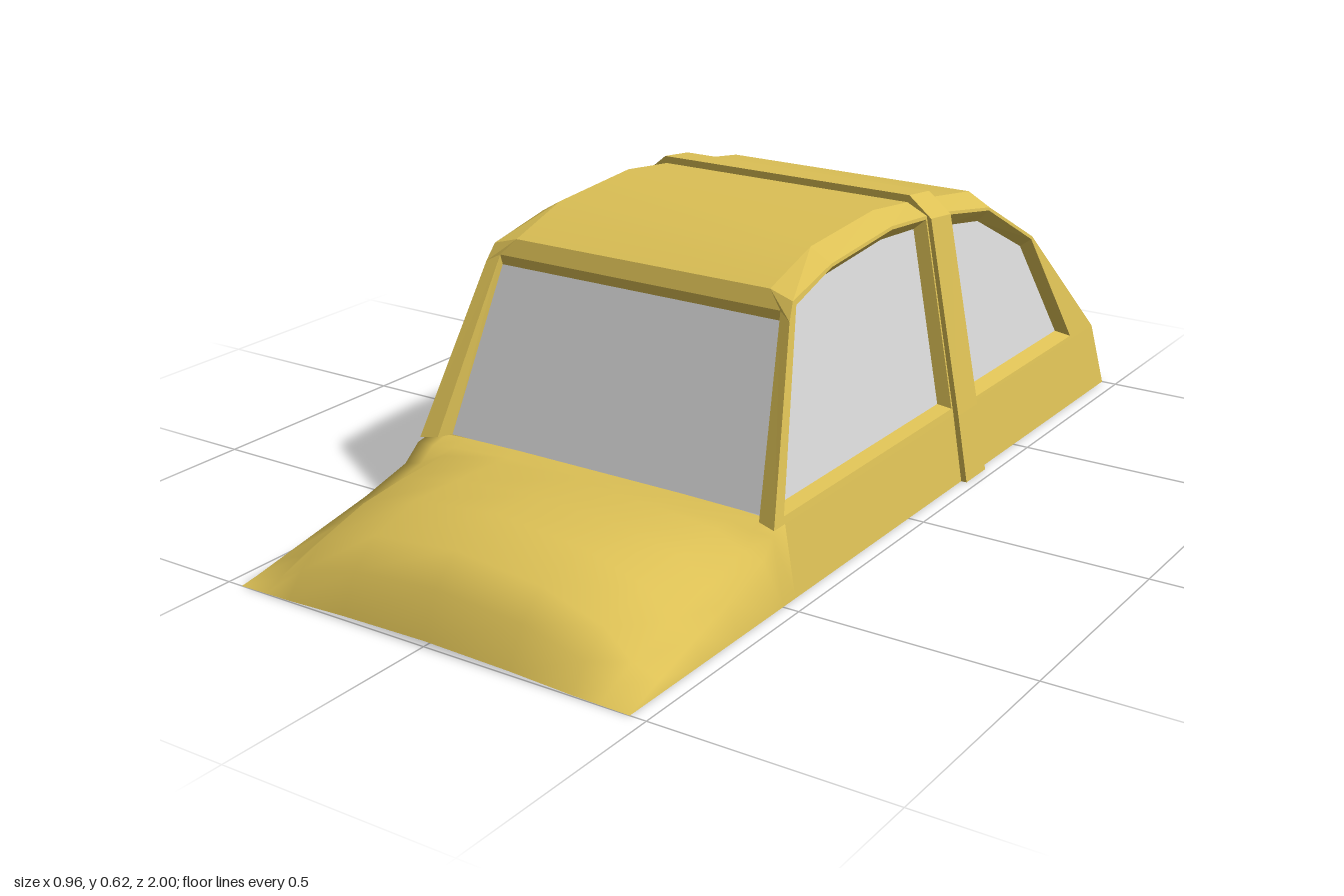
import * as THREE from 'three';

const body = new THREE.MeshStandardMaterial({ color: 0xdcc055, side: THREE.DoubleSide });
body.name = 'yellow body';
const glass = new THREE.MeshStandardMaterial({ color: 0xdadada, side: THREE.DoubleSide });
glass.name = 'pale glass';

// Half width of the side wall at height y
const wall = y => (y < 0.15 ? 0.465 - (y / 0.15) * 0.025 : 0.44 - ((y - 0.15) / 0.43) * 0.08);
const mirror = ([x, y, z]) => [-x, y, z];

// Skin stretched over rows of points
function loft(rows, smooth = true) {
  const n = rows[0].length, idx = [];
  for (let i = 0; i < rows.length - 1; i++) {
    for (let j = 0; j < n - 1; j++) {
      const a = i * n + j;
      idx.push(a, a + n, a + 1, a + 1, a + n, a + n + 1);
    }
  }
  let g = new THREE.BufferGeometry();
  g.setAttribute('position', new THREE.Float32BufferAttribute(rows.flat(2), 3));
  g.setIndex(idx);
  if (!smooth) g = g.toNonIndexed();
  g.computeVertexNormals();
  return g;
}

// Flat polygon in (z, y) leaned onto the side wall, moved inward by inset
function sidePanel(outline, holes, side, inset) {
  const toV = p => p.map(([z, y]) => new THREE.Vector2(z, y));
  const shape = new THREE.Shape(toV(outline));
  holes.forEach(h => shape.holes.push(new THREE.Path(toV(h))));
  const g = new THREE.ShapeGeometry(shape), pos = g.attributes.position;
  for (let i = 0; i < pos.count; i++) {
    const z = pos.getX(i), y = pos.getY(i);
    pos.setXYZ(i, side * (wall(y) - inset), y, z);
  }
  g.computeVertexNormals();
  return g;
}

// Roof line, front to rear: [z, y, half width, outer z, outer y]
const stations = [
  [0.485, 0.155, 0.40, 0.495, 0.15],
  [0.325, 0.525, 0.345, 0.337, 0.51],
  [0.31, 0.56, 0.312, 0.315, 0.545],
  [0.16, 0.608, 0.312, 0.16, 0.58],
  [-0.09, 0.625, 0.312, -0.09, 0.597],
  [-0.24, 0.608, 0.312, -0.24, 0.585],
  [-0.33, 0.598, 0.312, -0.33, 0.574],
  [-0.53, 0.568, 0.312, -0.525, 0.54],
  [-0.72, 0.46, 0.312, -0.715, 0.43],
  [-0.972, 0.145, 0.40, -0.972, 0.15],
];
const inner = stations.map(([z, y, x]) => [x, y, z]);
const outer = stations.map(([, , , z, y]) => [wall(y), y, z]);

// Side windows: opening in the wall and the smaller recessed pane
const windows = [
  {
    name: 'frontSide',
    hole: [[0.455, 0.165], [0.305, 0.535], [0.16, 0.573], [-0.09, 0.59], [-0.235, 0.578], [-0.235, 0.165]],
    pane: [[0.42, 0.172], [0.293, 0.525], [0.16, 0.548], [-0.09, 0.565], [-0.228, 0.555], [-0.228, 0.172]],
  },
  {
    name: 'rearSide',
    hole: [[-0.335, 0.158], [-0.335, 0.566], [-0.52, 0.534], [-0.708, 0.425], [-0.848, 0.158]],
    pane: [[-0.342, 0.17], [-0.342, 0.535], [-0.515, 0.507], [-0.705, 0.405], [-0.83, 0.17]],
  },
];

export function createModel() {
  const model = new THREE.Group();
  model.name = 'carShell';
  const add = (name, geometry, material = body) => {
    const m = new THREE.Mesh(geometry, material);
    m.name = name;
    model.add(m);
  };

  // Roof skin between its front edge and the top of the rear panel
  add('roof', loft(inner.slice(2, 9).map(p => [mirror(p), p])));

  // Front lip of the roof and its underside
  const lip = [inner[2], inner[1], [0.345, 0.502, 0.318]];
  add('roofLip', loft(lip.map(p => [mirror(p), p]), false));

  // Windscreen
  const screen = [[0.345, 0.502, 0.318], [0.385, 0.155, 0.455]];
  add('windscreen', loft(screen.map(p => [mirror(p), p]), false), glass);

  // Rear panel framing a flush rear window
  const frame = [inner[8], mirror(inner[8]), mirror(inner[9]), inner[9]];
  const pane = [[0.29, 0.416, -0.755], [-0.29, 0.416, -0.755], [-0.35, 0.204, -0.925], [0.35, 0.204, -0.925]];
  add('rearPanel', loft([[...frame, frame[0]], [...pane, pane[0]]], false));
  add('rearWindow', loft([[pane[0], pane[1]], [pane[3], pane[2]]], false), glass);

  // Tail below the rear panel
  add('tail', loft([[[-0.44, 0.15, -0.972], [0.44, 0.15, -0.972]],
    [[-0.465, 0, -1], [0.465, 0, -1]]], false));

  for (const side of [1, -1]) {
    const tag = side > 0 ? 'left' : 'right';
    const flip = p => (side > 0 ? p : mirror(p));

    // Bevelled edge running over pillar, roof and tail
    add(tag + 'RoofBevel', loft([inner.map(flip), outer.map(flip)], false));

    // Inner face of the windscreen pillar
    add(tag + 'PillarReveal', loft([[inner[0], inner[1]], [screen[1], screen[0]]].map(r => r.map(flip)), false));

    // Upper side wall with window openings
    const outline = outer.map(([, y, z]) => [z, y]);
    add(tag + 'UpperSide', sidePanel(outline, windows.map(w => w.hole), side, 0));

    // Lower side wall
    add(tag + 'LowerSide', loft([[[0.44, 0.15, 0.455], [0.44, 0.15, -0.972]],
      [[0.465, 0, 0.455], [0.465, 0, -1]]].map(r => r.map(flip)), false));

    // Recessed panes with their reveals
    for (const w of windows) {
      const close = (poly, inset) => [...poly, poly[0]].map(([z, y]) => [side * (wall(y) - inset), y, z]);
      add(tag + w.name + 'Reveal', loft([close(w.hole, 0), close(w.pane, 0.03)], false));
      add(tag + w.name + 'Window', sidePanel(w.pane, [], side, 0.03), glass);
    }
  }

  // Bonnet: [z, heights at five widths from the centre out, outer edge x]
  const widths = [0, 0.2, 0.34, 0.40];
  const bonnet = [
    [0.455, [0.157, 0.157, 0.155, 0.152, 0.15], 0.44],
    [0.50, [0.160, 0.158, 0.150, 0.142, 0.14], 0.442],
    [0.54, [0.168, 0.160, 0.145, 0.115, 0.105], 0.444],
    [0.66, [0.178, 0.164, 0.138, 0.090, 0.072], 0.448],
    [0.78, [0.185, 0.165, 0.125, 0.070, 0.048], 0.452],
    [0.90, [0.155, 0.135, 0.092, 0.040, 0.022], 0.458],
    [0.96, [0.100, 0.085, 0.050, 0.018, 0.008], 0.462],
    [1.00, [0.012, 0.008, 0.002, 0.001, 0], 0.465],
  ];
  add('bonnet', loft(bonnet.map(([z, h, edge]) => {
    const half = [...widths, edge].map((x, i) => [x, h[i], z]);
    half.push([0.465, 0, z]);
    return [...half.slice(1).reverse().map(mirror), ...half];
  })));

  // Raised hoop over the cabin behind the front windows
  const arch = [[0.478, 0], [0.452, 0.15], [0.37, 0.58], [0.316, 0.624]];
  const under = [[0.30, 0.585], [0.335, 0.56], [0.415, 0.15], [0.44, 0]];
  const half = arch.map(([x, y]) => [-x, y]);
  const points = [...arch, ...half.reverse(), ...under.map(([x, y]) => [-x, y]).reverse(), ...under];
  const hoop = new THREE.ExtrudeGeometry(
    new THREE.Shape(points.map(([x, y]) => new THREE.Vector2(x, y))), { depth: 0.09, bevelEnabled: false });
  hoop.translate(0, 0, -0.33);
  // Let the hoop top fall slightly toward the rear with the roof
  const pos = hoop.attributes.position;
  for (let i = 0; i < pos.count; i++) {
    if (pos.getZ(i) < -0.3 && pos.getY(i) > 0.5) pos.setY(i, pos.getY(i) - 0.01);
  }
  hoop.computeVertexNormals();
  add('cabinHoop', hoop);

  return model;
}
